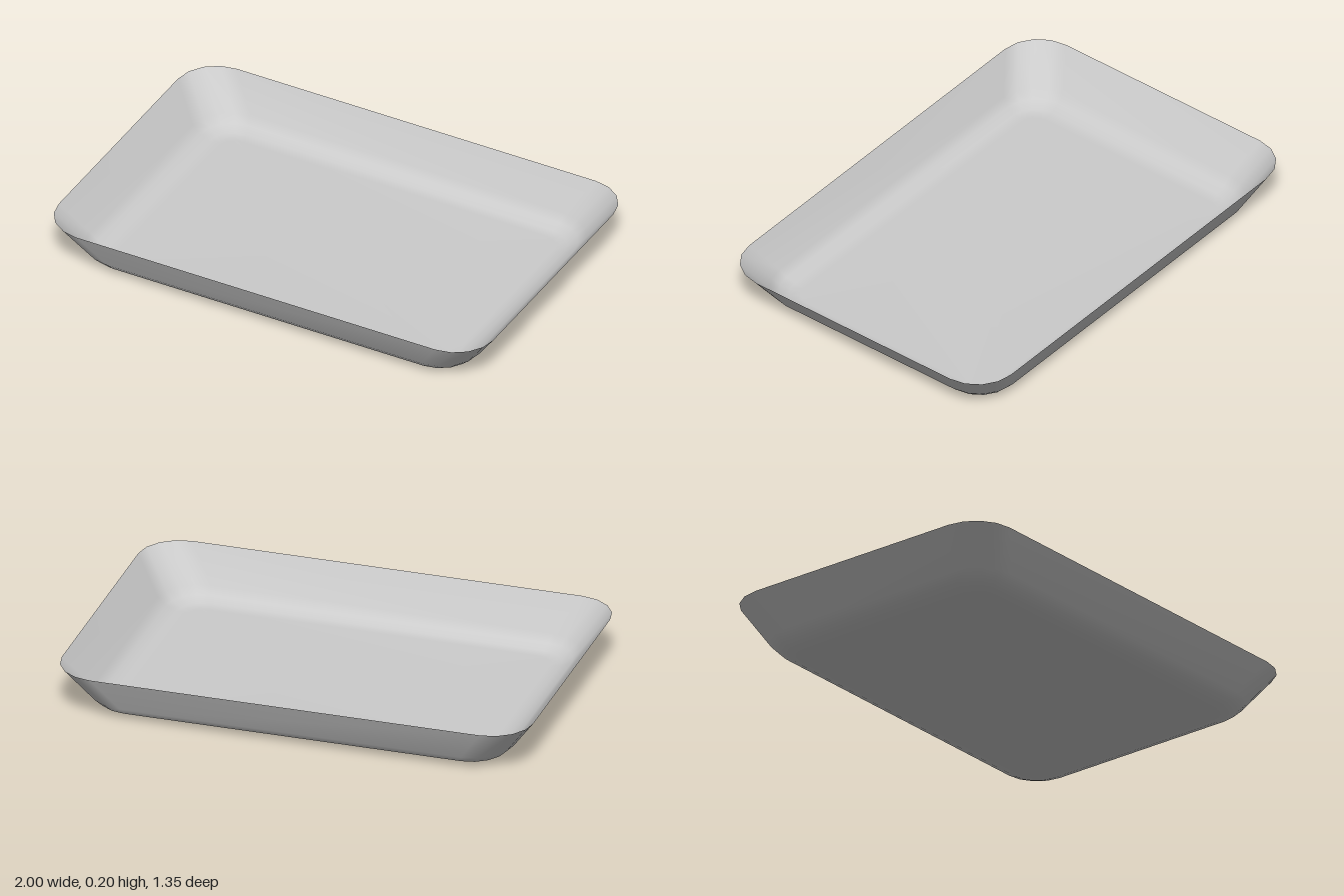
import * as THREE from 'three';

const CORNER_STEPS = 4;

// Rounded-rectangle loop: half width, half depth, corner radius, height
function roundedLoop([hx, hz, r, y]) {
  const points = [];
  for (let q = 0; q < 4; q++) {
    const sx = q === 0 || q === 3 ? 1 : -1;
    const sz = q < 2 ? 1 : -1;
    for (let i = 0; i <= CORNER_STEPS; i++) {
      const a = (q + i / CORNER_STEPS) * Math.PI / 2;
      points.push([sx * (hx - r) + r * Math.cos(a), y, sz * (hz - r) + r * Math.sin(a)]);
    }
  }
  return points;
}

// Skin of stacked loops, closed at the bottom by a flat floor
function loftTray(sections) {
  const loops = sections.map(roundedLoop);
  const n = loops[0].length;
  const positions = [0, 0, 0, ...loops.flat(2)];
  const index = [];
  for (let k = 0; k < n; k++) {
    const next = (k + 1) % n;
    index.push(0, 1 + k, 1 + next);
    for (let s = 0; s < loops.length - 1; s++) {
      const a = 1 + s * n + k, b = 1 + s * n + next;
      index.push(a, a + n, b, b, a + n, b + n);
    }
  }
  const geometry = new THREE.BufferGeometry();
  geometry.setAttribute('position', new THREE.Float32BufferAttribute(positions, 3));
  geometry.setIndex(index);
  geometry.computeVertexNormals();
  return geometry;
}

export function createModel() {
  const group = new THREE.Group();
  group.name = 'tray';
  const material = new THREE.MeshStandardMaterial({ color: 0xcccccc, side: THREE.DoubleSide });

  // Thin tray: flat floor, curved foot, straight flared walls up to the rim
  const tray = new THREE.Mesh(loftTray([
    [0.77, 0.495, 0.07, 0],
    [0.815, 0.535, 0.11, 0.007],
    [0.86, 0.573, 0.145, 0.025],
    [0.893, 0.602, 0.17, 0.056],
    [1, 0.677, 0.175, 0.205],
  ]), material);
  tray.name = 'trayShell';
  group.add(tray);
  return group;
}
